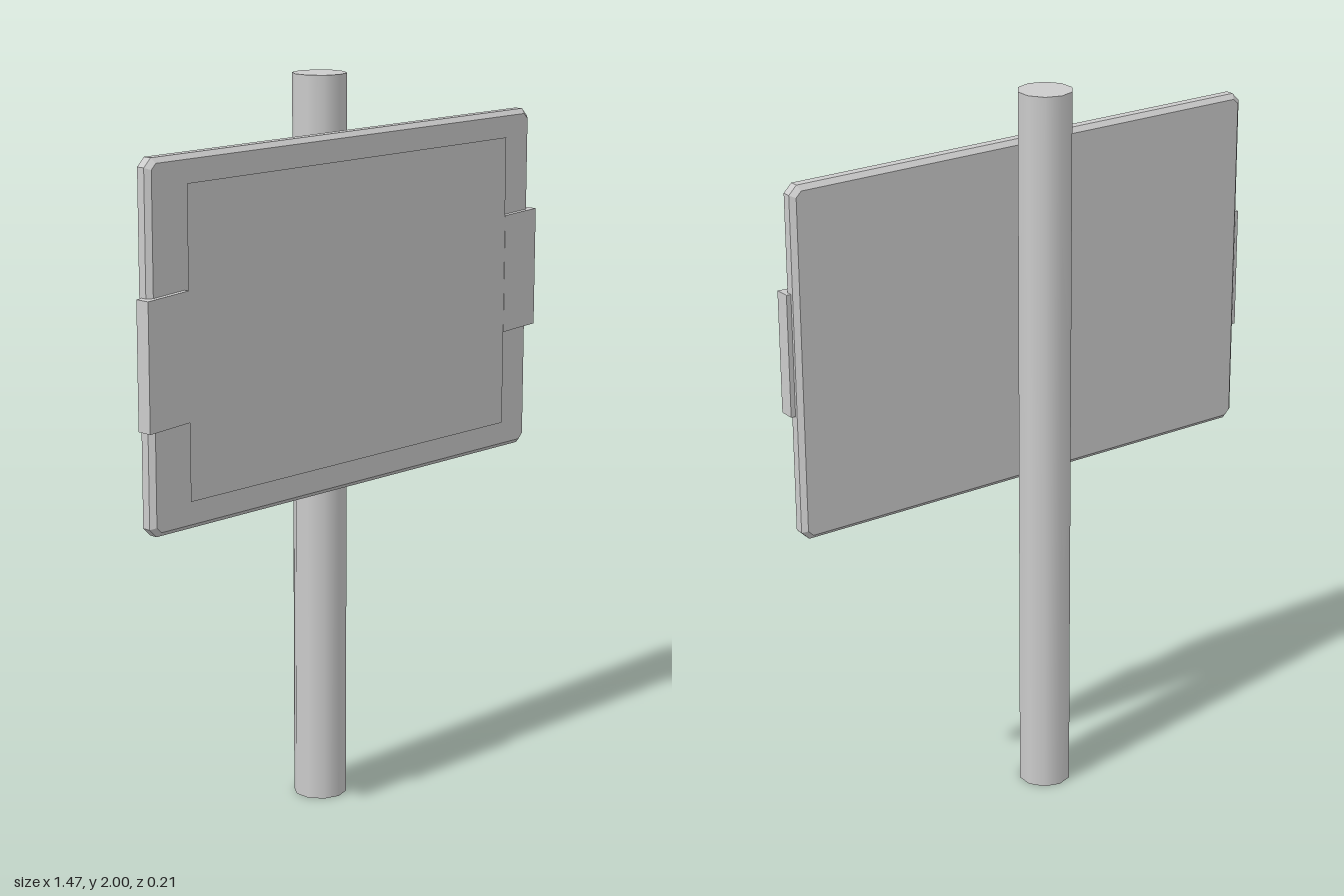
import * as THREE from 'three';

const material = new THREE.MeshStandardMaterial({ color: 0xcccccc });
const sheetMaterial = new THREE.MeshStandardMaterial({ color: 0xcccccc, side: THREE.DoubleSide });

function shapeFrom(points) {
  return new THREE.Shape(points.map(([x, y]) => new THREE.Vector2(x, y)));
}

export function createModel() {
  const group = new THREE.Group();
  const add = (name, geometry, mat = material) => {
    const mesh = new THREE.Mesh(geometry, mat);
    mesh.name = name;
    group.add(mesh);
    return mesh;
  };

  // Ten-sided post, standing behind the board
  const post = add('post', new THREE.CylinderGeometry(0.073, 0.073, 2, 10));
  post.position.set(0, 1, -0.033);

  // Board with clipped corners and a narrow bevel all round
  const bevel = 0.013, w = 0.718 - bevel, h = 0.479 - bevel, c = 0.015;
  const outline = shapeFrom([
    [-w + c, -h], [w - c, -h], [w, -h + c], [w, h - c],
    [w - c, h], [-w + c, h], [-w, h - c], [-w, -h + c],
  ]);
  const board = add('board', new THREE.ExtrudeGeometry(outline, {
    depth: 0.024, bevelEnabled: true, bevelSegments: 1, bevelSize: bevel, bevelThickness: bevel,
  }));
  board.position.set(0, 1.376, 0.037 + bevel);

  // Thin notice sheet held just in front of the board
  const sheet = add('noticeSheet', new THREE.PlaneGeometry(1.2, 0.81), sheetMaterial);
  sheet.position.set(0, 1.38, 0.1);

  // Slightly slanted clips hooking the sheet to the board's edges
  const clips = [
    ['leftClip', [[0.6, 1.237], [0.731, 1.243], [0.731, 1.573], [0.6, 1.567]]],
    ['rightClip', [[-0.735, 1.173], [-0.6, 1.181], [-0.6, 1.517], [-0.735, 1.508]]],
  ];
  for (const [name, points] of clips) {
    const clip = add(name, new THREE.ExtrudeGeometry(shapeFrom(points), { depth: 0.043, bevelEnabled: false }));
    clip.position.z = 0.058;
  }

  return group;
}
